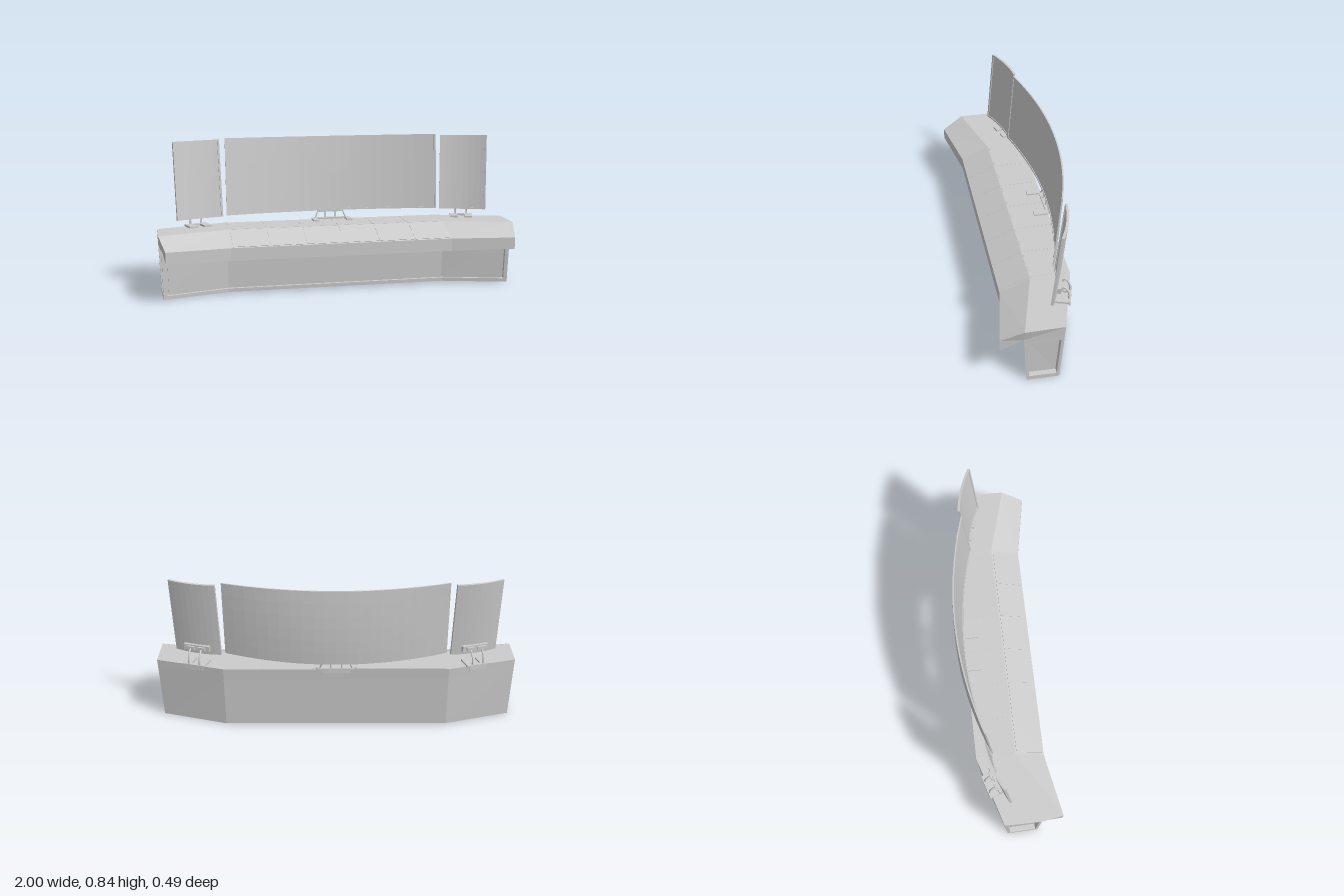
import * as THREE from 'three';

const mat = new THREE.MeshStandardMaterial({ color: 0xcccccc, flatShading: true });
const V = (x, y, z) => new THREE.Vector3(x, y, z);

function add(parent, geometry, name, x = 0, y = 0, z = 0) {
  const mesh = new THREE.Mesh(geometry, mat);
  mesh.name = name;
  mesh.position.set(x, y, z);
  parent.add(mesh);
  return mesh;
}

const box = (parent, name, w, h, d, x, y, z) =>
  add(parent, new THREE.BoxGeometry(w, h, d), name, x, y, z);

// Three-section desk body: one cross-section swept through mitred stations
function deskGeometry() {
  const verts = [];
  const quad = (a, b, c, d, s = 1) => {
    for (const p of s > 0 ? [a, b, c, a, c, d] : [a, c, b, a, d, c]) verts.push(p.x * s, p.y, p.z);
  };
  // back bottom, front bottom, front wall top, lip bottom, lip top, crease, back top, back bend
  const mid = [V(.62, 0, -.175), V(.62, 0, .01), V(.62, .285, .03), V(.62, .215, .18),
    V(.62, .285, .18), V(.62, .355, .02), V(.62, .355, -.195), V(.62, .29, -.19)];
  const end = [V(.985, 0, -.06), V(.98, 0, .11), V(.985, .29, .127), V(.968, .225, .245),
    V(.968, .29, .245), V(1, .355, .125), V(1, .355, -.08), V(.997, .29, -.077)];
  const inner = end.map((p, i) => p.clone().lerp(mid[i], .055));

  // Add the stepped front panel to a cross-section
  const station = (pts, depth, s) => {
    const low = pts[1].clone().lerp(pts[2], .07);
    const high = pts[1].clone().lerp(pts[2], .97);
    const back = V(0, 0, -depth);
    return [pts[0], pts[1], low, low.clone().add(back), high.clone().add(back), high, ...pts.slice(2)]
      .map(p => V(p.x * s, p.y, p.z));
  };
  const half = [[end, 0], [inner, 0], [inner, .018], [mid, .018]];
  const stations = [
    ...half.map(([p, d]) => station(p, d, -1)),
    ...half.slice().reverse().map(([p, d]) => station(p, d, 1)),
  ];
  for (let i = 0; i + 1 < stations.length; i++) {
    const A = stations[i], B = stations[i + 1];
    A.forEach((_, j) => {
      const k = (j + 1) % A.length;
      quad(A[j], B[j], B[k], A[k]);
    });
  }

  // End faces with a recessed trapezoid panel
  for (const s of [1, -1]) {
    const outer = [end[0], end[7], end[2], end[1]];
    const centre = outer.reduce((c, p) => c.add(p), V(0, 0, 0)).multiplyScalar(.25);
    const rim = outer.map(p => p.clone().lerp(centre, .16));
    const deep = rim.map(p => p.clone().add(V(-.03, 0, 0)));
    for (let i = 0; i < 4; i++) {
      const k = (i + 1) % 4;
      quad(outer[i], outer[k], rim[k], rim[i], s);
      quad(rim[i], rim[k], deep[k], deep[i], s);
    }
    quad(...deep, s);
    quad(end[2], end[7], end[6], end[5], s);
    quad(end[2], end[5], end[4], end[3], s);
  }
  const g = new THREE.BufferGeometry();
  g.setAttribute('position', new THREE.Float32BufferAttribute(verts, 3));
  g.computeVertexNormals();
  return g;
}

// Concave display: origin at the bottom centre of its front face
function createScreen(name, w, h, sag, thick, bulge, segs) {
  const group = new THREE.Group();
  group.name = name;
  const slab = (part, x0, x1, y0, y1, front, back, swell, n) => {
    const g = new THREE.BoxGeometry(1, 1, 1, n, 6, 1);
    const p = g.attributes.position;
    for (let i = 0; i < p.count; i++) {
      const x = THREE.MathUtils.lerp(x0, x1, p.getX(i) + .5);
      const y = THREE.MathUtils.lerp(y0, y1, p.getY(i) + .5);
      const u = 2 * x / w, v = y / h;
      const depth = p.getZ(i) > 0 ? front : back - swell * (1 - u * u) * (1 - v * v);
      p.setXYZ(i, x, y, sag * u * u + depth);
    }
    g.computeVertexNormals();
    add(group, g, part);
  };
  const b = .01, f = -.004;
  slab('displayPanel', -w / 2, w / 2, 0, h, f, -thick, bulge, segs);
  slab('bezelBottom', -w / 2, w / 2, 0, b, 0, f, 0, segs);
  slab('bezelTop', -w / 2, w / 2, h - b, h, 0, f, 0, segs);
  for (const s of [-1, 1]) {
    const a = s * w / 2, c = s * (w / 2 - b);
    slab('bezelSide', Math.min(a, c), Math.max(a, c), b, h - b, 0, f, 0, 1);
  }
  return group;
}

function tube(parent, name, points, r) {
  add(parent, new THREE.TubeGeometry(new THREE.CatmullRomCurve3(points), 8, r, 8), name);
}

// Clamp and feet shared by all stands: origin on the desk's top back edge
function createStand(name, width, footX, footW) {
  const group = new THREE.Group();
  group.name = name;
  box(group, 'clampTop', width, .01, .02, 0, .005, 0);
  box(group, 'clampBack', width * .8, .03, .01, 0, -.005, -.005);
  for (const s of [-1, 1]) box(group, 'foot', footW, .01, .08, s * footX, .005, .04);
  return group;
}

export function createModel() {
  const model = new THREE.Group();
  model.name = 'controlConsole';
  add(model, deskGeometry(), 'desk');

  // Thin control panels on the sloping front
  const slope = Math.atan2(.07, .16);
  for (let i = 0; i < 6; i++) {
    const panel = box(model, 'slopePanel', .199, .003, .158, (i - 2.5) * .203, .3205, .1005);
    panel.rotation.x = slope;
  }
  // Thin cover plates on the flat top
  for (let i = 0; i < 6; i++) {
    box(model, 'topPlate', .199, .002, .2, (i - 2.5) * .203, .355, -.085);
  }

  // Wide central screen
  const main = createScreen('mainScreen', 1.225, .432, .095, .008, .029, 20);
  main.position.set(0, .405, -.195);
  main.rotation.x = -.081;
  model.add(main);

  const mainStand = createStand('mainStand', .2, .098, .032);
  mainStand.position.set(0, .355, -.195);
  for (const s of [-1, 1]) {
    tube(mainStand, 'outerPost', [V(s * .09, .008, -.003), V(s * .08, .03, -.006), V(s * .07, .056, -.012)], .004);
    tube(mainStand, 'innerPost', [V(s * .03, .008, -.003), V(s * .03, .03, -.006), V(s * .03, .056, -.012)], .004);
  }
  box(mainStand, 'mountBar', .15, .008, .016, 0, .045, -.012);
  model.add(mainStand);

  // Side screens on cranked arms, turned inwards
  for (const s of [-1, 1]) {
    const side = createScreen('sideScreen', .27, .432, .014, .013, 0, 8);
    side.position.set(s * .764, .405, -.08);
    side.rotation.set(-.095, -s * .3, 0, 'YXZ');
    model.add(side);

    const stand = createStand('sideStand', .13, .042, .045);
    stand.position.set(s * .782, .355, -.15);
    stand.rotation.y = -s * .3;
    for (const a of [-.032, .032]) {
      tube(stand, 'arm', [V(a, .008, 0), V(a, .04, 0), V(a, .07, .014), V(a, .09, .04)], .005);
      box(stand, 'armBoss', .045, .018, .012, a, .09, .034);
    }
    box(stand, 'mountBracket', .15, .032, .022, 0, .09, .05);
    model.add(stand);
  }
  return model;
}
